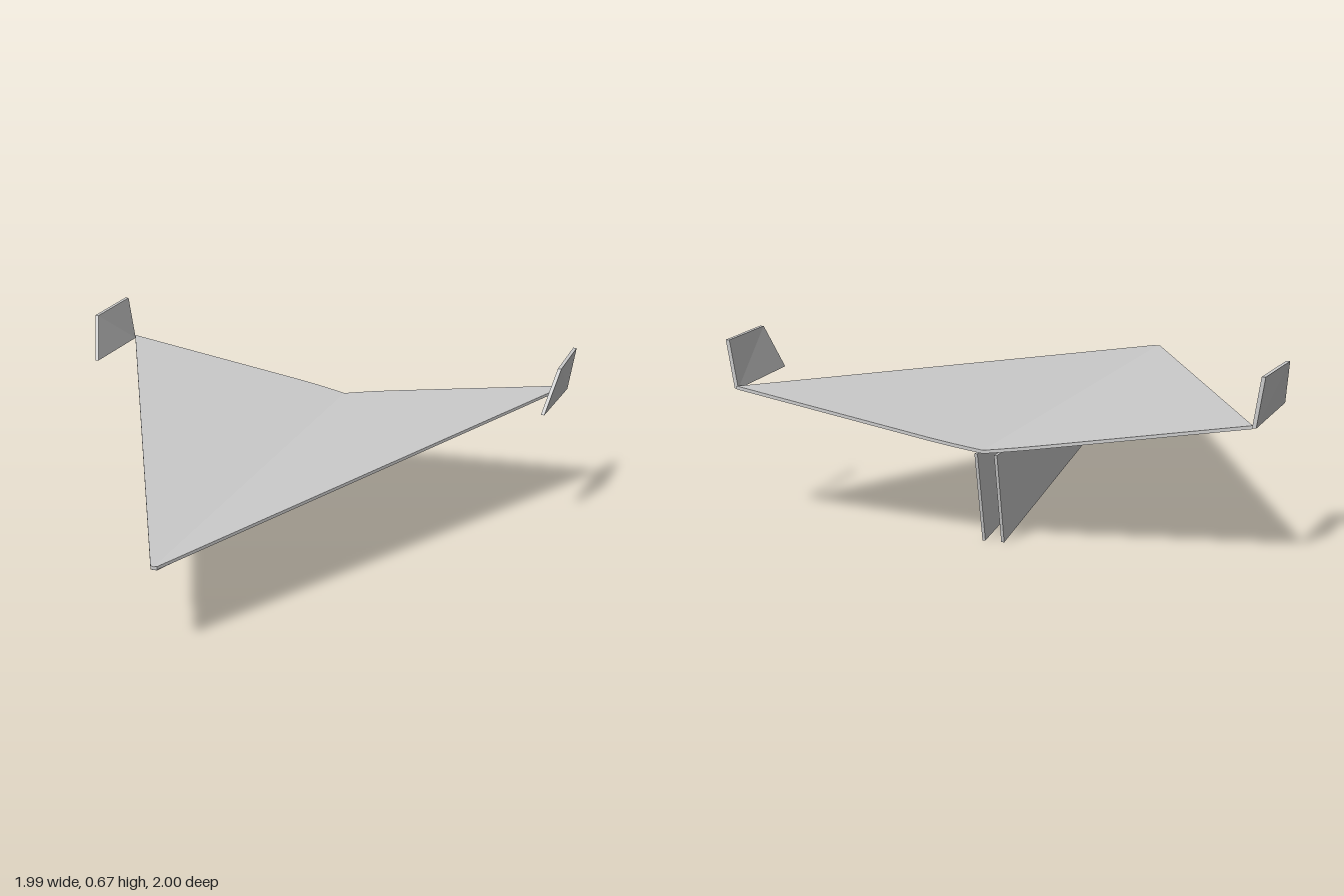
import * as THREE from 'three';

const material = new THREE.MeshStandardMaterial({ color: 0xcccccc, flatShading: true, side: THREE.DoubleSide });

// Thin sheet: a flat outline is extruded, then each vertex is placed by a rule
function sheet(name, outline, thickness, place) {
  const shape = new THREE.Shape(outline.map(([a, b]) => new THREE.Vector2(a, b)));
  const geometry = new THREE.ExtrudeGeometry(shape, { depth: thickness, bevelEnabled: false });
  const p = geometry.attributes.position;
  for (let i = 0; i < p.count; i++) {
    p.setXYZ(i, ...place(p.getX(i), p.getY(i), p.getZ(i) - thickness / 2));
  }
  geometry.computeVertexNormals();
  const mesh = new THREE.Mesh(geometry, material);
  mesh.name = name;
  return mesh;
}

export function createModel() {
  const model = new THREE.Group();
  model.name = 'paperPlane';

  // Outlines: wing as [z, x], upright parts as [y, z]
  const wing = [[1, 0], [1, 0.012], [-0.97, 0.945], [-1, 0.2], [-1, 0.12], [-0.995, 0.05], [-0.99, 0]];
  const keel = [[0.335, 1], [0.326, -0.965], [0, -0.9]];
  const winglet = [[0.5, -0.59], [0.665, -0.68], [0.665, -0.965], [0.49, -0.965]];

  for (const [side, label] of [[1, 'left'], [-1, 'right']]) {
    // Wing panel, rising from the centre fold to the tip
    model.add(sheet(`${label}Wing`, wing.map(([z, x]) => [z, side * x]), 0.012,
      (z, x, d) => [x, 0.341 + 0.163 * Math.abs(x) + d, z]));

    // Folded body sheet, spreading apart towards the tail
    model.add(sheet(`${label}Keel`, keel, 0.011,
      (y, z, d) => [side * (0.007 + 0.0148 * (1 - z)) + d, y, z]));

    // Upturned wing tip, leaning outwards with a slight twist
    model.add(sheet(`${label}Winglet`, winglet, 0.014, (y, z, d) => {
      const rise = y - 0.495;
      return [side * (0.949 + rise * (0.17 + 0.2 * (z + 0.965))) + d, y, z];
    }));
  }
  return model;
}
